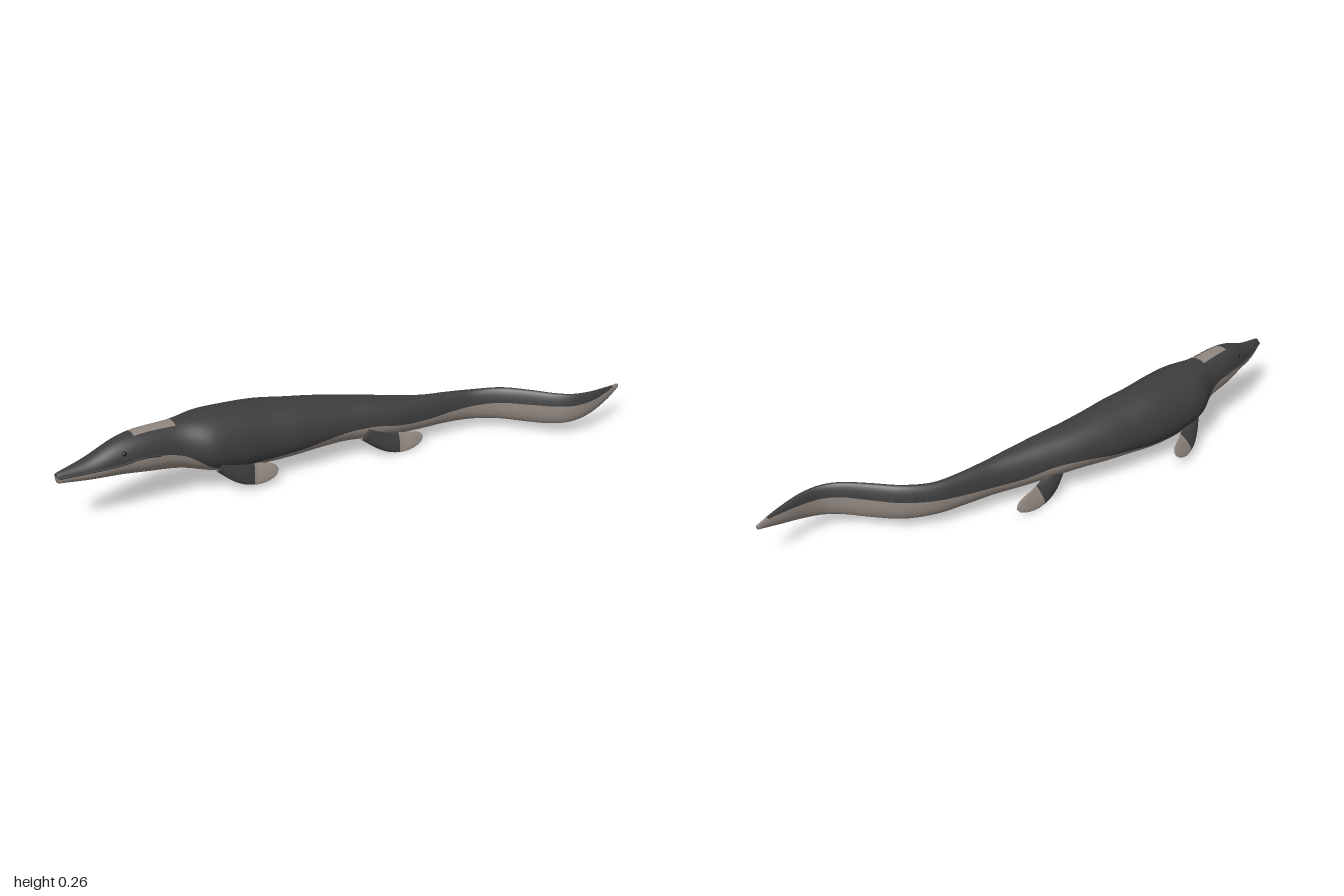
import * as THREE from 'three';

const dark = new THREE.MeshStandardMaterial({ color: 0x3d3d3e });
dark.name = 'dark back';
const light = new THREE.MeshStandardMaterial({ color: 0x90867f });
light.name = 'pale belly';
const black = new THREE.MeshStandardMaterial({ color: 0x1b1b1c });
black.name = 'black eye';

// Skins closed rings; isLight(i, j) picks the colour of each patch
function loft(name, rings, isLight) {
  const n = rings[0].length;
  const centre = (ring) => {
    const c = ring.reduce((s, p) => s.add(p), new THREE.Vector3()).divideScalar(n);
    return ring.map(() => c);
  };
  const all = [centre(rings[0]), ...rings, centre(rings[rings.length - 1])];
  const faces = [[], []];
  for (let i = 0; i < all.length - 1; i++) {
    for (let j = 0; j < n; j++) {
      const k = (j + 1) % n;
      const a = i * n + j, b = i * n + k, c = a + n, d = b + n;
      faces[isLight(i, j) ? 1 : 0].push(a, b, c, b, d, c);
    }
  }
  const g = new THREE.BufferGeometry().setFromPoints(all.flat());
  g.setIndex([...faces[0], ...faces[1]]);
  g.addGroup(0, faces[0].length, 0);
  g.addGroup(faces[0].length, faces[1].length, 1);
  g.computeVertexNormals();
  const mesh = new THREE.Mesh(g, [dark, light]);
  mesh.name = name;
  return mesh;
}

// Snout to tail tip: x, z, half width, top, bottom, height of colour edge
const stations = [
  [-0.155, 1.0, 0.014, 0.205, 0.17, 0.19],
  [-0.162, 0.9, 0.04, 0.222, 0.152, 0.19],
  [-0.165, 0.8, 0.058, 0.256, 0.138, 0.192],
  [-0.167, 0.72, 0.07, 0.267, 0.123, 0.198],
  [-0.165, 0.6, 0.078, 0.266, 0.1, 0.17],
  [-0.162, 0.5, 0.118, 0.27, 0.068, 0.105],
  [-0.155, 0.4, 0.122, 0.268, 0.042, 0.09],
  [-0.147, 0.3, 0.117, 0.26, 0.038, 0.085],
  [-0.127, 0.2, 0.111, 0.246, 0.043, 0.092],
  [-0.11, 0.1, 0.102, 0.231, 0.05, 0.105],
  [-0.087, 0, 0.09, 0.215, 0.055, 0.118],
  [-0.057, -0.1, 0.078, 0.2, 0.05, 0.118],
  [-0.028, -0.2, 0.064, 0.184, 0.045, 0.1],
  [-0.003, -0.3, 0.047, 0.17, 0.045, 0.095],
  [0.016, -0.4, 0.036, 0.163, 0.045, 0.1],
  [0.045, -0.5, 0.029, 0.158, 0.042, 0.106],
  [0.1, -0.585, 0.025, 0.164, 0.04, 0.113],
  [0.18, -0.65, 0.023, 0.167, 0.041, 0.118],
  [0.25, -0.705, 0.021, 0.166, 0.046, 0.122],
  [0.289, -0.76, 0.02, 0.163, 0.054, 0.124],
  [0.302, -0.83, 0.018, 0.158, 0.068, 0.128],
  [0.295, -0.92, 0.014, 0.148, 0.094, 0.136],
  [0.281, -1.0, 0.006, 0.138, 0.122, 0.14],
];

function makeBody() {
  const group = new THREE.Group();
  group.name = 'body';
  const curve = (f) => new THREE.CatmullRomCurve3(
    stations.map((s) => new THREE.Vector3(...f(s))), false, 'catmullrom', 0.5);
  const spine = curve((s) => [s[0], 0, s[1]]);
  const size = curve((s) => [s[2], s[3], s[4]]);
  const edge = curve((s) => [s[5], 0, 0]);
  const up = new THREE.Vector3(0, 1, 0);
  const steps = 176, n = 48;
  const rings = [], zs = [];
  for (let i = 0; i <= steps; i++) {
    const t = i / steps;
    const c = spine.getPoint(t);
    const side = up.clone().cross(spine.getTangent(t)).normalize();
    const { x: w, y: top, z: bottom } = size.getPoint(t);
    const mid = bottom + 0.42 * (top - bottom);
    const rel = edge.getPoint(t).x - mid;
    const s = rel / (rel > 0 ? top - mid : mid - bottom);
    const a = Math.asin(THREE.MathUtils.clamp(s, -0.95, 0.95));
    const ring = [];
    for (let j = 0; j < n; j++) {
      const u = j / (n / 2);
      // first half runs over the back, second half under the belly
      const q = u < 1 ? a + u * (Math.PI - 2 * a) : Math.PI - a + (u - 1) * (Math.PI + 2 * a);
      const h = Math.sin(q);
      const p = c.clone().addScaledVector(side, w * Math.cos(q));
      p.y = mid + h * (h > 0 ? top - mid : mid - bottom);
      ring.push(p);
    }
    rings.push(ring);
    zs.push(c.z);
  }
  // Pale belly, pale crown patch and pale tail tip
  group.add(loft('trunk', rings, (i, j) => {
    const z = zs[Math.min(i, steps)];
    const crown = z > 0.59 && z < 0.74 && Math.abs(j - 11.5) < 3;
    return j >= n / 2 || crown || z < -0.97;
  }));
  // Lip lines along the colour edge of the jaws
  for (const j of [0, n / 2]) {
    const pts = rings.filter((r, i) => zs[i] > 0.67 && i % 3 === 0).map((r) => r[j]);
    const lip = new THREE.Mesh(
      new THREE.TubeGeometry(new THREE.CatmullRomCurve3(pts), 40, 0.004, 6), dark);
    lip.name = 'lip';
    group.add(lip);
  }
  return group;
}

// Flattened paddle swept along a path; out is the outward face direction
function makeFlipper(name, points, out, width) {
  const path = new THREE.CatmullRomCurve3(points.map((p) => new THREE.Vector3(...p)));
  const steps = 28, n = 20, rings = [];
  for (let i = 0; i <= steps; i++) {
    const t = i / steps;
    const c = path.getPoint(t), T = path.getTangent(t);
    const across = T.clone().cross(new THREE.Vector3(...out)).normalize();
    const face = across.clone().cross(T).normalize();
    const round = Math.sqrt(Math.max(0.002, 1 - t ** 7));
    const w = width * (0.85 + 0.2 * Math.sin(Math.PI * t)) * round;
    const thick = THREE.MathUtils.lerp(0.028, 0.006, Math.min(1, t * 1.6)) * round;
    rings.push(Array.from({ length: n }, (_, j) => {
      const q = (j / n) * Math.PI * 2;
      return c.clone().addScaledVector(face, thick * Math.cos(q))
        .addScaledVector(across, w * Math.sin(q));
    }));
  }
  // Pale inner face, dark outer face with a pale end
  return loft(name, rings, (i, j) => {
    const outer = Math.cos(((j + 0.5) / n) * Math.PI * 2) > 0;
    return !outer || i / steps > 0.58;
  });
}

export function createModel() {
  const model = new THREE.Group();
  model.name = 'marineReptile';
  model.add(makeBody());

  model.add(
    makeFlipper('rightFrontFlipper',
      [[-0.235, 0.115, 0.48], [-0.275, 0.075, 0.42], [-0.3, 0.06, 0.36], [-0.312, 0.062, 0.29]],
      [-0.87, 0.5, 0], 0.036),
    makeFlipper('leftFrontFlipper',
      [[-0.075, 0.11, 0.48], [-0.047, 0.07, 0.42], [-0.034, 0.053, 0.36], [-0.025, 0.053, 0.29]],
      [0.9, 0.42, 0], 0.036),
    makeFlipper('rightRearFlipper',
      [[-0.095, 0.095, -0.07], [-0.118, 0.052, -0.14], [-0.127, 0.036, -0.21], [-0.125, 0.035, -0.3]],
      [-0.9, 0.42, 0], 0.034),
    makeFlipper('leftRearFlipper',
      [[-0.005, 0.095, -0.05], [0.025, 0.052, -0.12], [0.04, 0.036, -0.19], [0.045, 0.04, -0.27]],
      [0.88, 0.47, 0], 0.034),
  );

  // Eyes
  for (const s of [-1, 1]) {
    const eye = new THREE.Mesh(new THREE.SphereGeometry(0.009, 14, 10), black);
    eye.name = s > 0 ? 'leftEye' : 'rightEye';
    eye.position.set(-0.165 + s * 0.046, 0.222, 0.79);
    model.add(eye);
  }
  return model;
}
